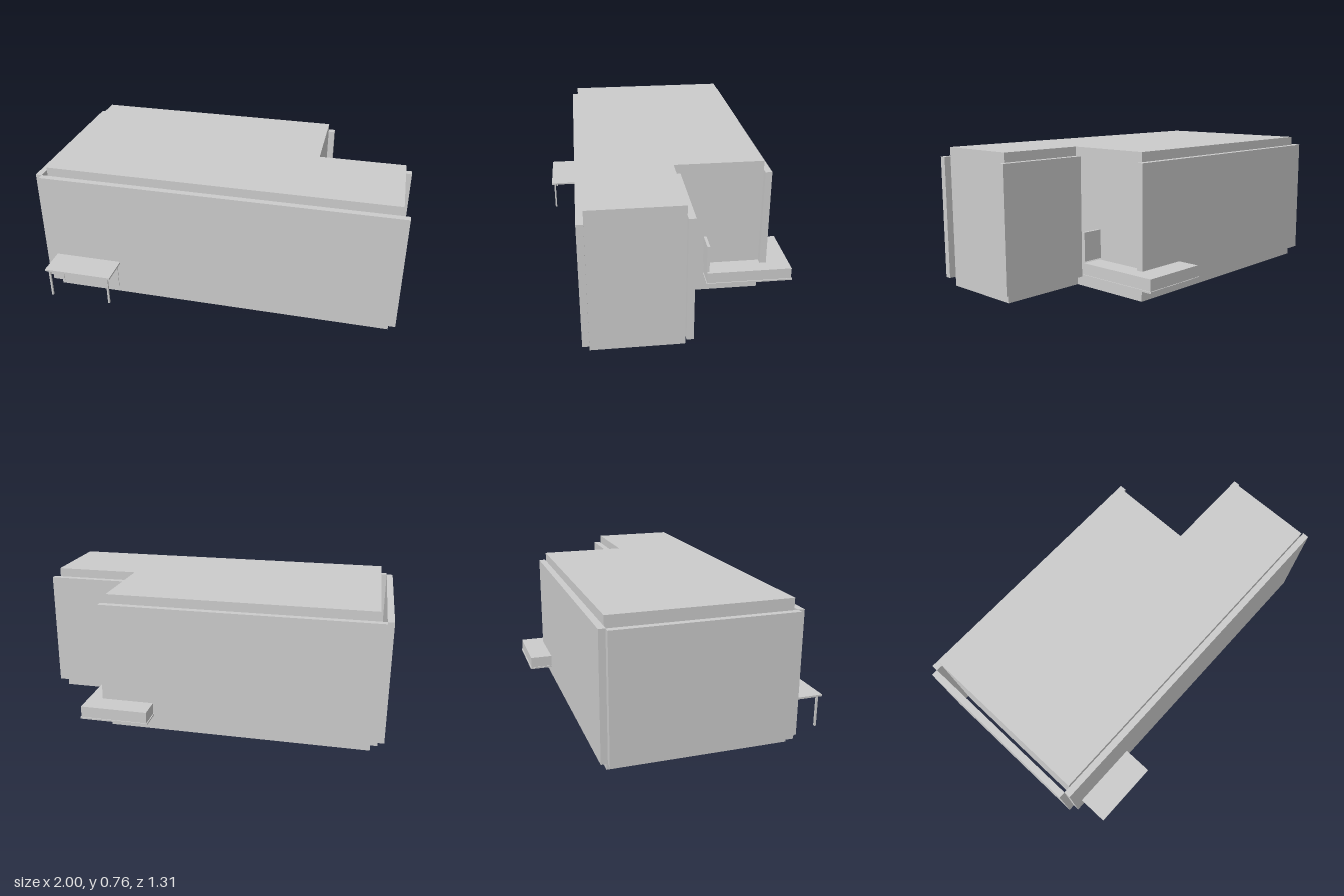
import * as THREE from 'three';

const grey = new THREE.MeshStandardMaterial({ color: 0xcccccc });
grey.name = 'plain grey';

export function createModel() {
  const model = new THREE.Group();
  model.name = 'building';

  // Box given by its minimum and maximum corners
  const box = (name, parent, [x0, y0, z0], [x1, y1, z1]) => {
    const mesh = new THREE.Mesh(new THREE.BoxGeometry(x1 - x0, y1 - y0, z1 - z0), grey);
    mesh.position.set((x0 + x1) / 2, (y0 + y1) / 2, (z0 + z1) / 2);
    mesh.name = name;
    parent.add(mesh);
  };

  // L-shaped core, drawn in plan (x, -z) and raised to full height
  const plan = new THREE.Shape([
    [-0.93, -0.455], [0.962, -0.455], [0.962, 0.016],
    [0.49, 0.016], [0.49, 0.49], [-0.93, 0.49],
  ].map(([x, y]) => new THREE.Vector2(x, y)));
  const coreGeometry = new THREE.ExtrudeGeometry(plan, { depth: 0.76, bevelEnabled: false });
  coreGeometry.rotateX(-Math.PI / 2);
  const core = new THREE.Mesh(coreGeometry, grey);
  core.name = 'core';
  model.add(core);

  // Outer wall panels
  const low = 0.05, high = 0.71;
  box('frontWall', model, [-0.965, low, 0.455], [0.998, high, 0.49]);
  box('backWall', model, [-0.965, low, -0.526], [0.525, high, -0.49]);
  box('wingBackWall', model, [0.49, low, -0.052], [0.998, high, -0.016]);
  box('sideWall', model, [-1, low, -0.492], [-0.965, high, 0.455]);

  // Balcony wrapping the inner corner, with its end screen
  const balcony = new THREE.Group();
  balcony.name = 'balcony';
  model.add(balcony);
  box('balconyBlock', balcony, [0.236, 0.1, -0.65], [0.602, 0.17, -0.188]);
  box('balconyRim', balcony, [0.231, 0.1, -0.655], [0.607, 0.109, -0.184]);
  box('endScreen', balcony, [0.49, 0.18, -0.198], [0.605, 0.334, -0.183]);

  // Canopy on four slim posts
  const canopy = new THREE.Group();
  canopy.name = 'canopy';
  model.add(canopy);
  box('canopyRoof', canopy, [-0.918, 0.219, 0.49], [-0.54, 0.229, 0.655]);
  for (const x of [-0.905, -0.567]) {
    for (const z of [0.484, 0.631]) {
      box('post', canopy, [x, low, z], [x + 0.01, 0.22, z + 0.01]);
    }
  }
  return model;
}
